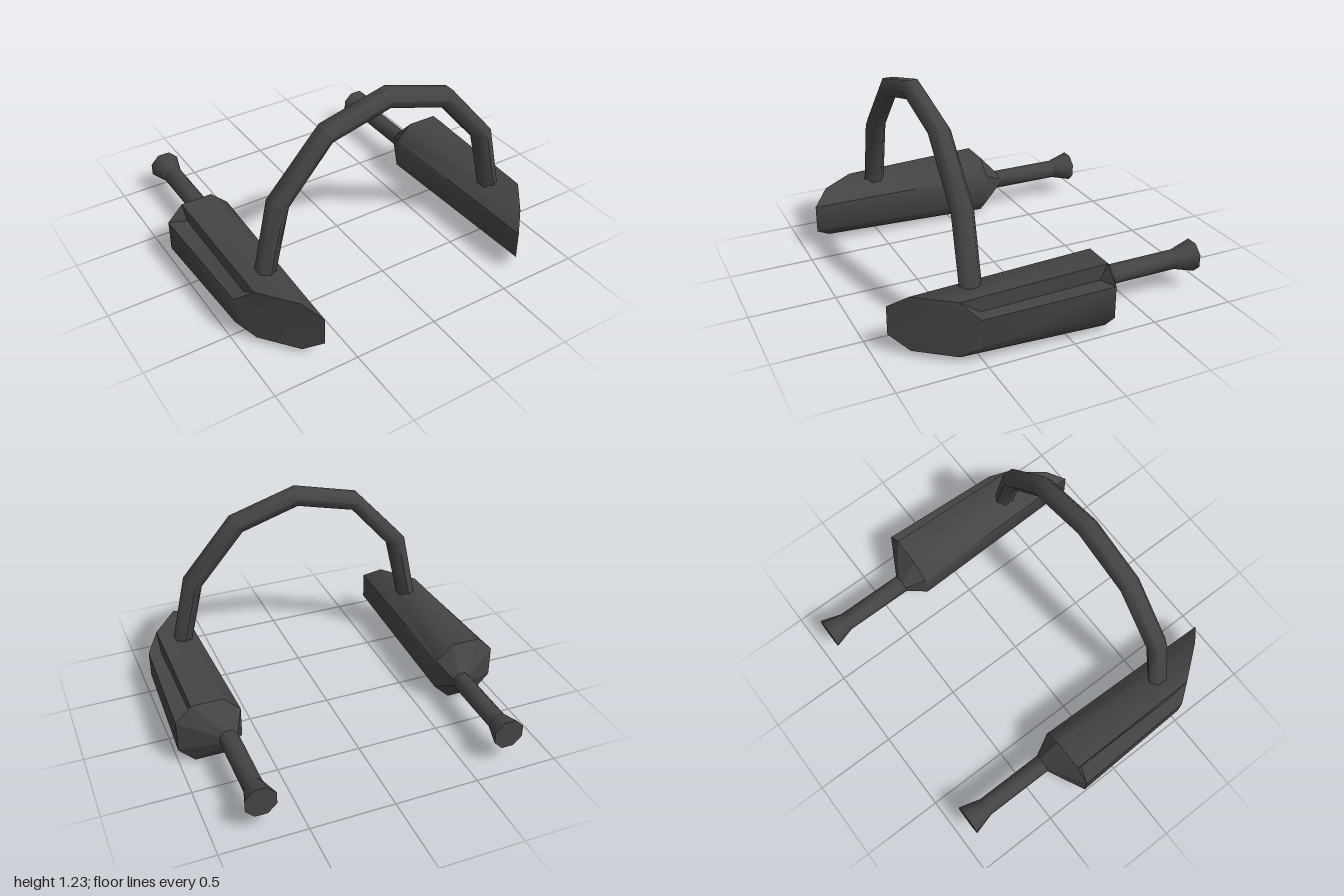
import * as THREE from 'three';
import { toCreasedNormals } from 'three/addons/utils/BufferGeometryUtils.js';

const material = new THREE.MeshStandardMaterial({ color: 0x444444 });

// Skin a list of equal-length rings, with fan caps at both ends
function loft(name, rings, flip, crease) {
  const pos = [];
  const tri = (a, b, c) => pos.push(...a, ...(flip ? c : b), ...(flip ? b : c));
  const n = rings[0].length;
  for (let r = 0; r + 1 < rings.length; r++) {
    const a = rings[r], b = rings[r + 1];
    for (let i = 0; i < n; i++) {
      const j = (i + 1) % n;
      tri(a[i], a[j], b[j]);
      tri(a[i], b[j], b[i]);
    }
  }
  const first = rings[0], last = rings[rings.length - 1];
  for (let i = 1; i + 1 < n; i++) {
    tri(first[0], first[i + 1], first[i]);
    tri(last[0], last[i], last[i + 1]);
  }
  let geo = new THREE.BufferGeometry();
  geo.setAttribute('position', new THREE.Float32BufferAttribute(pos, 3));
  geo = toCreasedNormals(geo, crease);
  const mesh = new THREE.Mesh(geo, material);
  mesh.name = name;
  return mesh;
}

// One side pod: grooved octagonal body, skewed tail cone, flared tail pipe
function makePod(s) {
  const pod = new THREE.Group();
  pod.name = s > 0 ? 'leftPod' : 'rightPod';
  const mirror = ring => ring.map(([x, y, z]) => [s * x, y, z]);
  const zb = -0.24;

  // Octagon corners, starting at the outer upper side
  const back = [
    [1, 0.288, zb], [1, 0.1, zb], [0.907, 0.003, zb], [0.72, 0.003, zb],
    [0.622, 0.1, zb], [0.622, 0.288, zb], [0.72, 0.383, zb], [0.907, 0.383, zb],
  ];
  // Slanted front face
  const front = [
    [0.973, 0.272, 0.525], [0.973, 0.112, 0.525], [0.896, 0.035, 0.615], [0.735, 0.035, 0.82],
    [0.65, 0.112, 0.915], [0.65, 0.278, 0.915], [0.735, 0.355, 0.82], [0.896, 0.355, 0.615],
  ];
  // The ninth point cuts the groove along the outer upper edge
  pod.add(loft('podBody', [
    mirror([...back, [0.9, 0.288, -0.2]]),
    mirror([...front, [0.9, 0.275, 0.5]]),
  ], s > 0, 0.82));

  const pipeRing = (apothem, z) => mirror(Array.from({ length: 8 }, (_, i) => {
    const a = Math.PI / 8 - i * Math.PI / 4, r = apothem / Math.cos(Math.PI / 8);
    return [0.733 + r * Math.cos(a), 0.197 + r * Math.sin(a), z];
  }));
  pod.add(loft('tailCone', [pipeRing(0.053, -0.36), mirror(back)], s > 0, 0.1));
  pod.add(loft('tailPipe', [pipeRing(0.053, -0.785), pipeRing(0.053, -0.36)], s > 0, 0.82));
  pod.add(loft('tailFlare', [pipeRing(0.088, -0.915), pipeRing(0.053, -0.785)], s > 0, 0.82));
  return pod;
}

// Hexagonal bar bent into an arch; each station is outer x, y, inner x, y
function makeArch() {
  const stations = [
    [-0.813, 0.345, -0.713, 0.345], [-0.72, 0.785, -0.622, 0.735], [-0.4, 1.135, -0.355, 1.04],
    [0, 1.237, 0, 1.13],
    [0.412, 1.112, 0.352, 1.022], [0.717, 0.757, 0.622, 0.71], [0.81, 0.345, 0.71, 0.345],
  ];
  const rings = stations.map(([ox, oy, ix, iy]) => Array.from({ length: 6 }, (_, k) => {
    const a = Math.PI / 6 + k * Math.PI / 3;
    const c = Math.cos(a) / (2 * Math.cos(Math.PI / 6));
    return [(ox + ix) / 2 + (ox - ix) * c, (oy + iy) / 2 + (oy - iy) * c, 0.492 + 0.064 * Math.sin(a)];
  }));
  return loft('archBar', rings, false, 1.1);
}

export function createModel() {
  const model = new THREE.Group();
  model.name = 'archedTwinPods';
  model.add(makePod(1), makePod(-1), makeArch());
  return model;
}
